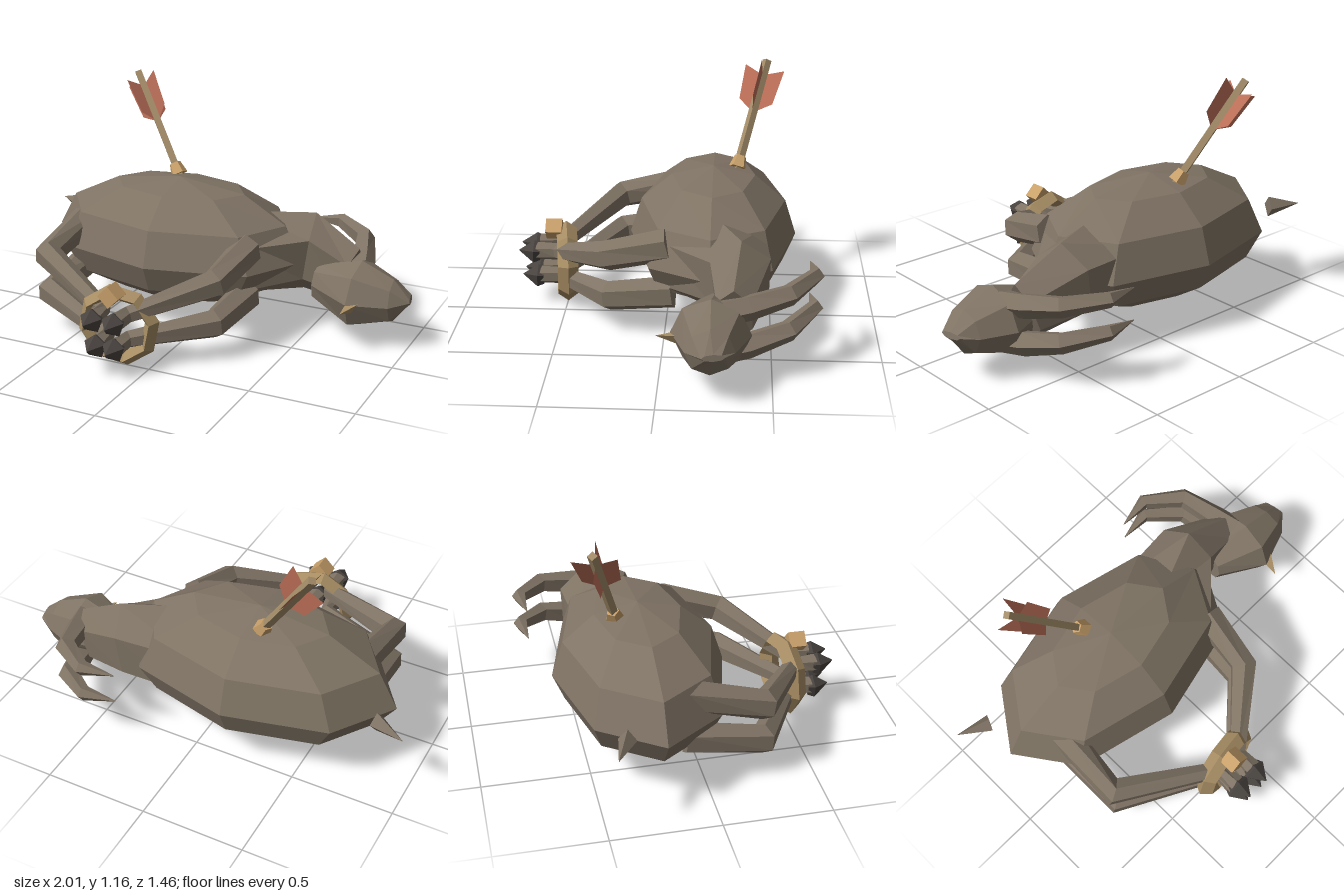
import * as THREE from 'three';

const mat = (name, color, extra = {}) => {
  const m = new THREE.MeshStandardMaterial({ color, flatShading: true, ...extra });
  m.name = name;
  return m;
};

// Loft along a path; each entry is [x, y, z, horizontal radius, vertical radius]
function loft(rings, sides, offset = 0) {
  const pts = rings.map(r => new THREE.Vector3(r[0], r[1], r[2]));
  const pos = [], idx = [], up = new THREE.Vector3(0, 1, 0), n = rings.length;
  rings.forEach(([, , , ru, rw = ru], i) => {
    const t = pts[Math.min(i + 1, n - 1)].clone().sub(pts[Math.max(i - 1, 0)]).normalize();
    const u = t.clone().cross(up).normalize(), w = u.clone().cross(t);
    for (let k = 0; k < sides; k++) {
      const a = (k + offset) / sides * Math.PI * 2;
      const p = pts[i].clone().addScaledVector(u, ru * Math.cos(a)).addScaledVector(w, rw * Math.sin(a));
      pos.push(p.x, p.y, p.z);
    }
  });
  const last = (n - 1) * sides;
  for (let k = 0; k < sides; k++) {
    const k2 = (k + 1) % sides;
    for (let i = 0; i < n - 1; i++) {
      const a = i * sides + k, b = i * sides + k2;
      idx.push(a, a + sides, b, b, a + sides, b + sides);
    }
    idx.push(n * sides, k, k2, n * sides + 1, last + k2, last + k);
  }
  for (const p of [pts[0], pts[n - 1]]) pos.push(p.x, p.y, p.z);
  const g = new THREE.BufferGeometry();
  g.setAttribute('position', new THREE.Float32BufferAttribute(pos, 3));
  g.setIndex(idx);
  g.computeVertexNormals();
  return g;
}

export function createModel() {
  const model = new THREE.Group();
  const hide = mat('hide', 0x7f7364), hoofMat = mat('hoof', 0x48433f);
  const rope = mat('rope', 0xa68c63), knotMat = mat('knot', 0xc8a06a);
  const wood = mat('wood', 0xa38c68);
  const feather = mat('feather', 0xbc6f58, { side: THREE.DoubleSide });
  const add = (name, geo, m, parent = model) => {
    const mesh = new THREE.Mesh(geo, m);
    mesh.name = name;
    parent.add(mesh);
    return mesh;
  };

  // Body: faceted ellipsoid with a flatter underside
  const body = new THREE.SphereGeometry(1, 8, 6);
  const p = body.attributes.position;
  for (let i = 0; i < p.count; i++) {
    const x = p.getX(i), y = p.getY(i);
    p.setXYZ(i, x * (x > 0.8 ? 0.65 : 0.69), y * (y > 0 ? 0.345 : 0.26), p.getZ(i) * 0.405);
  }
  body.translate(-0.19, 0.355, -0.215);
  body.computeVertexNormals();
  add('body', body, hide);

  // Neck and head
  add('neck', loft([[0.15, 0.36, -0.22, 0.3, 0.21], [0.45, 0.37, -0.35, 0.16, 0.2],
    [0.66, 0.29, -0.33, 0.09, 0.15]], 6, 0.5), hide);
  add('head', loft([[0.53, 0.26, -0.25, 0.07, 0.09], [0.75, 0.245, -0.23, 0.178, 0.166],
    [0.92, 0.237, -0.23, 0.11, 0.105], [1, 0.25, -0.245, 0.052, 0.015]], 8), hide);

  // Two horns, stacked because the animal lies on its side
  for (const [name, y0, y1, y2] of [['upperHorn', 0.34, 0.395, 0.42], ['lowerHorn', 0.16, 0.225, 0.265]]) {
    add(name, loft([[0.74, y0, -0.28, 0.06], [0.71, y0 + 0.015, -0.39, 0.06], [0.655, y1, -0.57, 0.05],
      [0.49, y2, -0.69, 0.037], [0.33, y2, -0.67, 0.002]], 5), hide);
  }

  // Small spike on the side of the head, and the tail
  add('headSpike', loft([[0.77, 0.235, -0.09, 0.036], [0.74, 0.225, 0.01, 0.001]], 3, 0.25), rope);
  add('tail', loft([[-0.85, 0.405, -0.385, 0.042, 0.052], [-1, 0.405, -0.45, 0.001]], 4), hide);

  // Legs: hip or shoulder, knee, ankle, with a pointed hoof
  const legs = [
    ['upperHind', [-0.645, 0.46, -0.09], [-0.665, 0.375, 0.27], [-0.215, 0.275, 0.565]],
    ['lowerHind', [-0.645, 0.24, -0.09], [-0.655, 0.185, 0.27], [-0.205, 0.145, 0.55]],
    ['upperFore', [0.26, 0.46, -0.02], [0.225, 0.385, 0.27], [-0.085, 0.275, 0.565]],
    ['lowerFore', [0.25, 0.22, -0.04], [0.22, 0.18, 0.26], [-0.095, 0.145, 0.55]],
  ];
  for (const [name, hip, knee, ankle] of legs) {
    const leg = new THREE.Group();
    leg.name = name + 'Leg';
    model.add(leg);
    const [x, y, z] = ankle;
    const cx = x * 0.85 - 0.15 * 0.15;
    add(name + 'Limb', loft([[...hip, 0.075, 0.08], [...knee, 0.068, 0.072], [x, y, z - 0.03, 0.042],
      [cx, y, z + 0.08, 0.045]], 6, 0.5), hide, leg);
    add(name + 'Hoof', loft([[cx, y - 0.005, z + 0.065, 0.045], [cx, y - 0.005, z + 0.095, 0.058],
      [cx, y, z + 0.17, 0.002]], 5, 0.25), hoofMat, leg);
  }

  // Rope loop around the ankles, with its knot
  const loop = add('ropeLoop', new THREE.TorusGeometry(0.165, 0.036, 4, 8), rope);
  loop.scale.z = 1.4;
  loop.position.set(-0.15, 0.2, 0.505);
  loop.rotation.set(0, 0.15, 0.2);
  const knot = add('knot', new THREE.BoxGeometry(0.075, 0.075, 0.08), knotMat);
  knot.position.set(-0.15, 0.37, 0.565);
  knot.rotation.z = Math.PI / 4;

  // Arrow, built along +y and then tilted into place
  const arrow = new THREE.Group();
  arrow.name = 'arrow';
  const d = new THREE.Vector3(-0.52, 0.815, -0.24).normalize();
  const v = new THREE.Vector3(0.84, 0.5, 0.2).addScaledVector(d, 0.075);
  v.addScaledVector(d, -v.dot(d)).normalize();
  arrow.quaternion.setFromRotationMatrix(new THREE.Matrix4().makeBasis(v, d, v.clone().cross(d)));
  arrow.position.set(-0.265, 0.685, -0.335);
  model.add(arrow);
  add('shaft', new THREE.CylinderGeometry(0.023, 0.023, 0.63, 4), wood, arrow).position.y = 0.235;
  add('collar', new THREE.CylinderGeometry(0.03, 0.045, 0.06, 5), knotMat, arrow).position.y = 0.01;
  const vane = new THREE.Shape([[0, 0.27], [0.085, 0.33], [0.1, 0.51], [0, 0.47], [-0.1, 0.51], [-0.085, 0.33]]
    .map(q => new THREE.Vector2(...q)));
  for (let i = 0; i < 2; i++) {
    add('fletching', new THREE.ShapeGeometry(vane), feather, arrow).rotation.y = i * Math.PI / 2;
  }
  return model;
}
